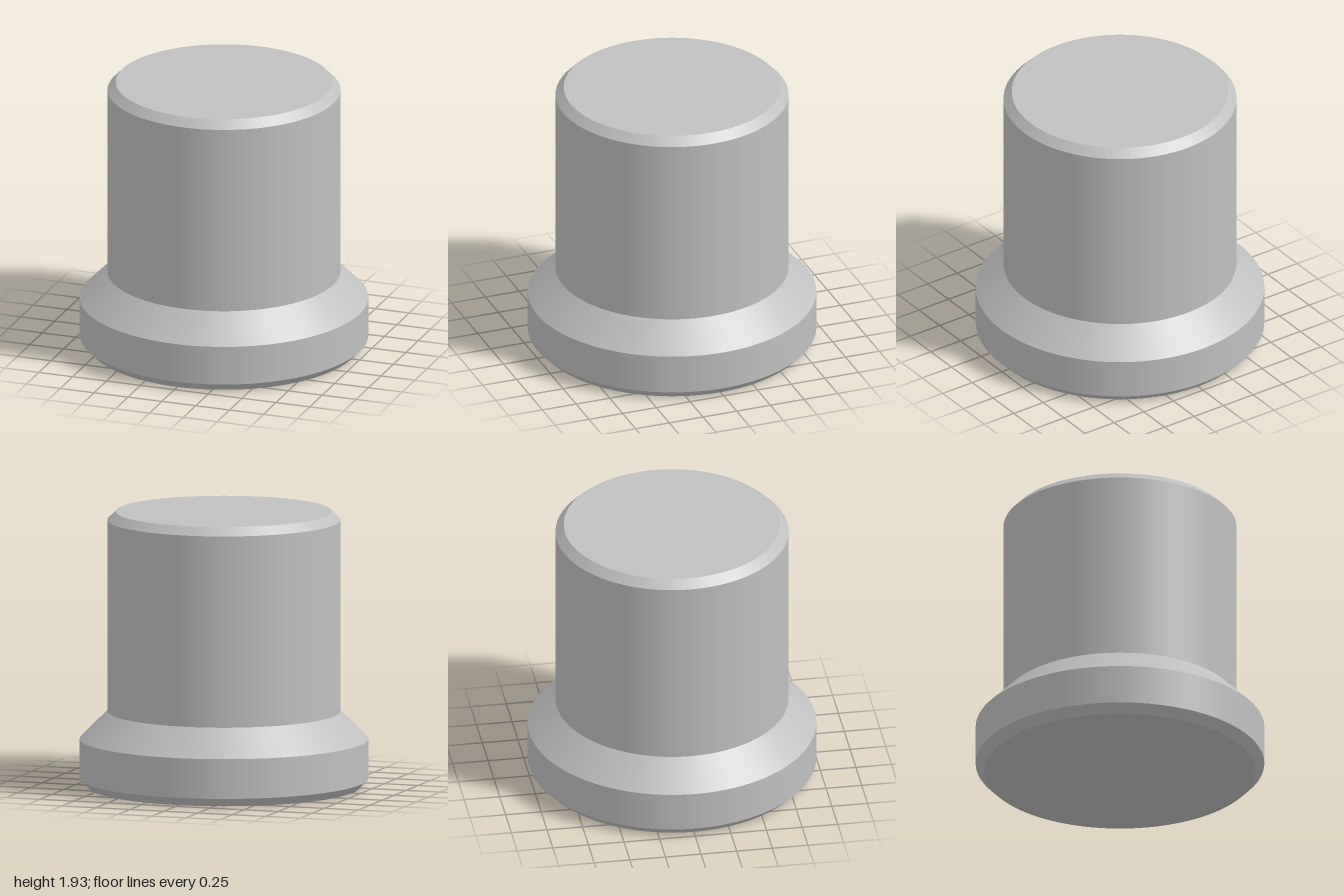
import * as THREE from 'three';

const SEGMENTS = 128;

export function createModel() {
  const group = new THREE.Group();
  group.name = 'flangedPlug';
  const metal = new THREE.MeshStandardMaterial({ color: 0xc0c0c0 });
  metal.name = 'plain grey';

  // Smooth band between two heights; separate bands keep the edges sharp
  const band = (name, y0, r0, y1, r1) => {
    const geometry = new THREE.CylinderGeometry(r1, r0, y1 - y0, SEGMENTS, 1, true);
    const mesh = new THREE.Mesh(geometry, metal);
    mesh.name = name;
    mesh.position.y = (y0 + y1) / 2;
    group.add(mesh);
  };

  // Flat end disc, facing up (1) or down (-1); starts at the same angle as the bands
  const disc = (name, y, r, facing) => {
    const geometry = new THREE.CircleGeometry(r, SEGMENTS).rotateX(-facing * Math.PI / 2);
    const mesh = new THREE.Mesh(geometry, metal);
    mesh.name = name;
    mesh.position.y = y;
    group.add(mesh);
  };

  // Flange
  disc('bottomFace', 0, 0.94, -1);
  band('bottomChamfer', 0, 0.94, 0.06, 1);
  band('flangeRim', 0.06, 1, 0.338, 1);
  band('flangeSlope', 0.338, 1, 0.53, 0.807);

  // Shaft
  band('shaft', 0.53, 0.807, 1.869, 0.807);
  band('topChamfer', 1.869, 0.807, 1.927, 0.75);
  disc('topFace', 1.927, 0.75, 1);

  return group;
}
